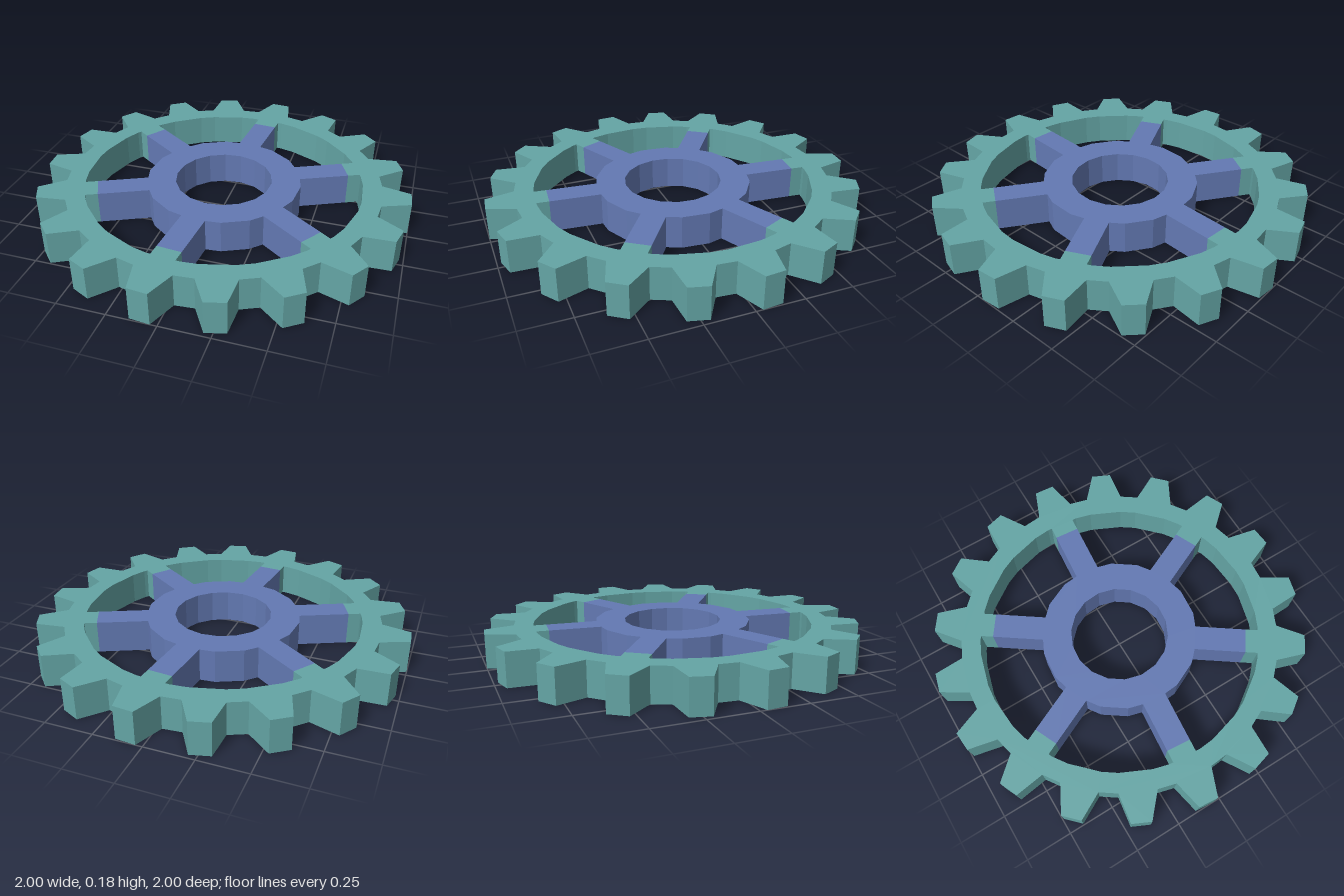
import * as THREE from 'three';

const TEETH = 18, HEIGHT = 0.177;
const TIP_R = 1.0005, ROOT_R = 0.852, RIM_R = 0.75;   // toothed rim
const HUB_R = 0.42, BORE_R = 0.262;                   // hub ring
const SPOKE_HALF = 0.065, SPOKE_END = 0.68;           // spokes, up to the colour change
const RAD = Math.PI / 180;

const toothAngle = (i) => (5 + (i * 360) / TEETH) * RAD;
const hasSpoke = (i) => i % 3 === 1;
const polar = (r, a) => new THREE.Vector2(r * Math.cos(a), r * Math.sin(a));
// point given along and across a radial direction
const local = (u, v, a) => new THREE.Vector2(u, v).rotateAround(new THREE.Vector2(), a);

// walks once round the wheel, collecting the points of each tooth sector
function outline(sector) {
  const points = [];
  for (let i = 0; i < TEETH; i++) points.push(...sector(toothAngle(i), i));
  return points;
}

// extrudes a flat outline with one hole, laid on the ground
function plate(name, outer, inner, material) {
  const shape = new THREE.Shape(outer);
  shape.holes.push(new THREE.Path(inner));
  const geometry = new THREE.ExtrudeGeometry(shape, { depth: HEIGHT, bevelEnabled: false });
  geometry.rotateX(-Math.PI / 2);
  const mesh = new THREE.Mesh(geometry, material);
  mesh.name = name;
  return mesh;
}

export function createModel() {
  const teal = new THREE.MeshStandardMaterial({ color: 0x64a5a5 });
  teal.name = 'teal';
  const blue = new THREE.MeshStandardMaterial({ color: 0x6379b3 });
  blue.name = 'blue';

  const base = (20 / 3) * RAD, tip = 3 * RAD;

  // tapered teeth
  const teeth = outline((a) => [
    polar(ROOT_R, a - base), polar(TIP_R, a - tip),
    polar(TIP_R, a + tip), polar(ROOT_R, a + base),
  ]);

  // inside of the rim, with short stubs where the spokes join
  const rimU = RIM_R * Math.cos(base);
  const rimInside = outline((a, i) => [
    polar(RIM_R, a - base),
    ...(hasSpoke(i) ? [
      local(rimU, -SPOKE_HALF, a), local(SPOKE_END, -SPOKE_HALF, a),
      local(SPOKE_END, SPOKE_HALF, a), local(rimU, SPOKE_HALF, a),
    ] : []),
    polar(RIM_R, a + base),
  ]);

  // hub with six spokes
  const hubU = HUB_R - SPOKE_HALF * Math.tan(10 * RAD);
  const hubAndSpokes = outline((a, i) => hasSpoke(i) ? [
    local(hubU, -SPOKE_HALF, a), local(SPOKE_END, -SPOKE_HALF, a),
    local(SPOKE_END, SPOKE_HALF, a), local(hubU, SPOKE_HALF, a),
  ] : [polar(HUB_R, a)]);
  const bore = outline((a) => [polar(BORE_R, a)]);

  const gear = new THREE.Group();
  gear.name = 'gear';
  gear.add(plate('toothedRim', teeth, rimInside, teal));
  gear.add(plate('hubAndSpokes', hubAndSpokes, bore, blue));
  return gear;
}
